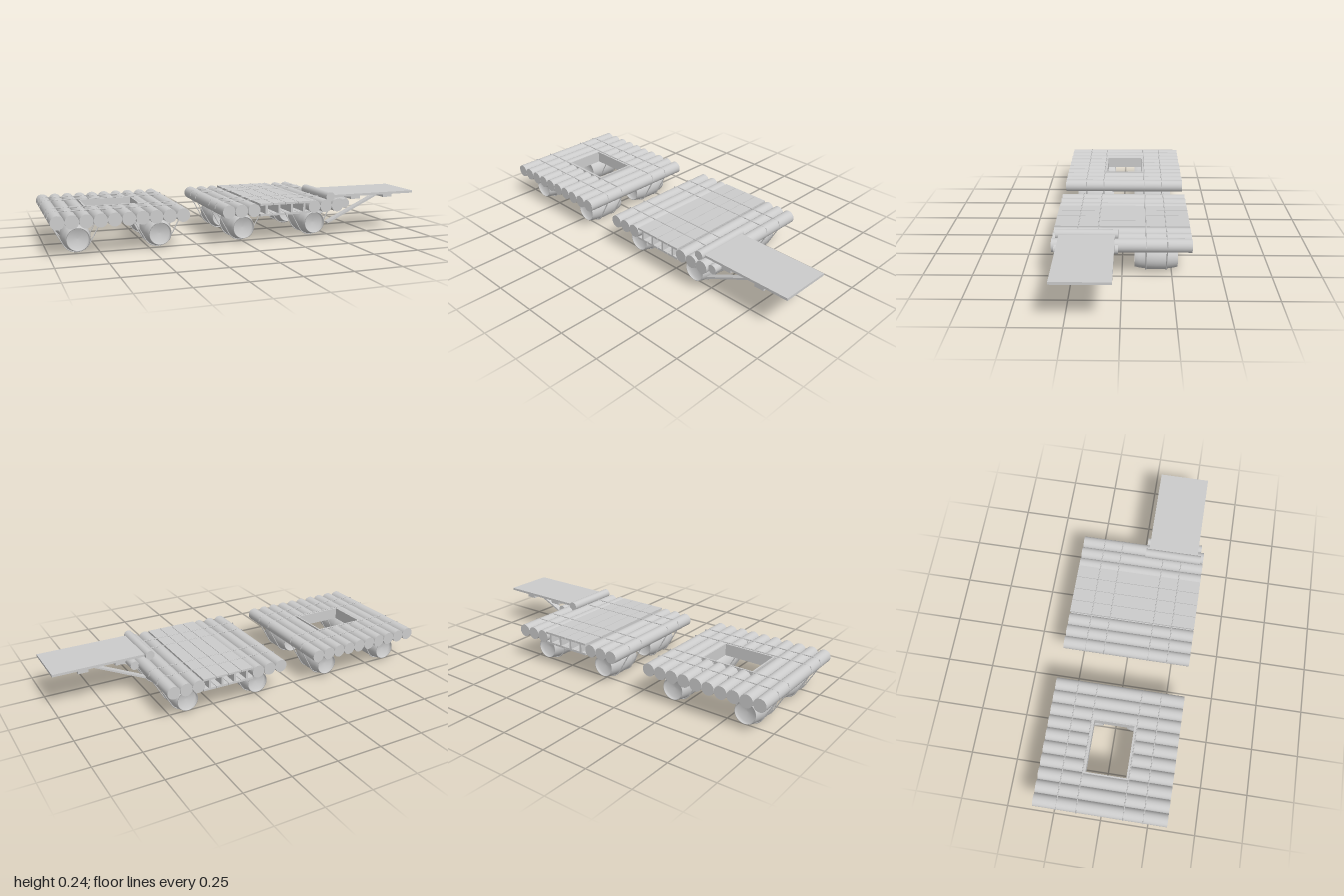
import * as THREE from 'three';

const mat = new THREE.MeshStandardMaterial({ color: 0xcccccc });
const LOG_R = 0.0343, DECK_Y = 0.178, HALF = 0.345;
const BARREL_Y = 0.078, ROPE_Z = [-0.223, -0.12, 0.12, 0.223];

function add(parent, name, geometry, x, y, z) {
  const mesh = new THREE.Mesh(geometry, mat);
  mesh.name = name;
  mesh.position.set(x, y, z);
  parent.add(mesh);
  return mesh;
}

const box = (parent, name, w, h, d, x, y, z) =>
  add(parent, name, new THREE.BoxGeometry(w, h, d), x, y, z);

// Round timber lying along z
function log(parent, name, r, x, y, z0, z1) {
  const geo = new THREE.CylinderGeometry(r, r, z1 - z0, 24).rotateX(Math.PI / 2);
  return add(parent, name, geo, x, y, (z0 + z1) / 2);
}

// Barrel with bulging staves and recessed lids
const barrelGeo = new THREE.LatheGeometry([
  [0, -0.085], [0.052, -0.088], [0.055, -0.108], [0.058, -0.108],
  [0.064, -0.085], [0.068, -0.055], [0.071, -0.047], [0.072, 0],
  [0.071, 0.047], [0.068, 0.055], [0.064, 0.085], [0.058, 0.108],
  [0.055, 0.108], [0.052, 0.088], [0, 0.085],
].map(([r, y]) => new THREE.Vector2(r, y)), 32).rotateX(Math.PI / 2);

// Rope through points in the xy plane
function rope(parent, name, pts, z) {
  const path = new THREE.CurvePath();
  const v = pts.map(([x, y]) => new THREE.Vector3(x, y, 0));
  for (let i = 1; i < v.length; i++) path.add(new THREE.LineCurve3(v[i - 1], v[i]));
  add(parent, name, new THREE.TubeGeometry(path, 64, 0.0028, 6), 0, 0, z);
}

// Sling that hangs a barrel below the deck
function slingPoints(cx) {
  const pts = [[cx - 0.128, 0.209], [cx - 0.137, 0.185], [cx - 0.132, 0.165]];
  for (let a = 210; a <= 330; a += 10) {
    const t = THREE.MathUtils.degToRad(a);
    pts.push([cx + 0.073 * Math.cos(t), BARREL_Y + 0.073 * Math.sin(t)]);
  }
  pts.push([cx + 0.132, 0.165], [cx + 0.137, 0.185], [cx + 0.128, 0.209]);
  return pts;
}

// Barrels and ropes shared by both rafts; cx is the raft centre
function floats(raft, cx) {
  for (const bx of [cx - 0.205, cx + 0.205]) {
    for (const s of [-1, 1]) add(raft, 'barrel', barrelGeo, bx, BARREL_Y, s * 0.172);
    for (const z of ROPE_Z) rope(raft, 'barrelSling', slingPoints(bx), z);
  }
  for (const z of ROPE_Z) {
    const w = 0.343;
    rope(raft, 'deckRope', [
      [cx - w - 0.002, 0.178], [cx - w + 0.01, 0.203], [cx - w + 0.034, 0.212],
      [cx + w - 0.034, 0.212], [cx + w - 0.01, 0.203], [cx + w + 0.002, 0.178]], z);
  }
}

const logX = (cx, i) => cx + (i - 4.5) * 2 * LOG_R;

// Raft with a framed well in the middle
function wellRaft(cx) {
  const raft = new THREE.Group();
  raft.name = 'wellRaft';
  for (let i = 0; i < 10; i++) {
    const x = logX(cx, i);
    if (i >= 3 && i <= 6) {
      log(raft, 'shortDeckLog', LOG_R, x, DECK_Y, -HALF, -0.115);
      log(raft, 'shortDeckLog', LOG_R, x, DECK_Y, 0.115, HALF);
    } else log(raft, 'deckLog', LOG_R, x, DECK_Y, -HALF, HALF);
  }
  for (const s of [-1, 1]) {
    box(raft, 'wellFrameEnd', 0.29, 0.064, 0.012, cx, DECK_Y, s * 0.112);
    box(raft, 'wellFrameSide', 0.008, 0.064, 0.23, cx + s * 0.141, DECK_Y, 0);
  }
  floats(raft, cx);
  return raft;
}

// I-shaped beam along z
function beam(parent, x) {
  const w = 0.0345, h = 0.033, f = 0.022, t = 0.006;
  const shape = new THREE.Shape([
    [-w, -h], [w, -h], [w, -f], [t, -f], [t, f], [w, f],
    [w, h], [-w, h], [-w, f], [-t, f], [-t, -f], [-w, -f],
  ].map(([a, b]) => new THREE.Vector2(a, b)));
  const geo = new THREE.ExtrudeGeometry(shape, { depth: 2 * HALF, bevelEnabled: false });
  add(parent, 'deckBeam', geo, x, DECK_Y, -HALF);
}

// Raft with four beams between the logs
function beamRaft(cx) {
  const raft = new THREE.Group();
  raft.name = 'beamRaft';
  for (let i = 0; i < 10; i++) {
    if (i < 3 || i > 6) log(raft, 'deckLog', LOG_R, logX(cx, i), DECK_Y, -HALF, HALF);
  }
  for (let i = 0; i < 4; i++) beam(raft, cx + 0.004 + (i - 1.5) * 0.0715);
  floats(raft, cx);
  return raft;
}

// Boarding ramp with rests, cleats and braces
function boardingRamp() {
  const ramp = new THREE.Group();
  ramp.name = 'boardingRamp';
  const z = 0.172;
  log(ramp, 'rampStopLog', 0.025, 0.479, 0.222, 0.018, 0.328);
  log(ramp, 'rampRestLog', 0.024, 0.567, 0.183, 0.018, 0.328);
  box(ramp, 'rampBoard', 0.5, 0.013, 0.276, 0.75, 0.2215, z);
  for (const x of [0.64, 0.84]) box(ramp, 'rampCleat', 0.055, 0.015, 0.276, x, 0.2075, z);
  const [x0, y0, x1, y1] = [0.49, 0.071, 0.79, 0.211];
  for (const bz of [0.086, 0.26]) {
    const brace = box(ramp, 'rampBrace', Math.hypot(x1 - x0, y1 - y0), 0.01, 0.034,
      (x0 + x1) / 2, (y0 + y1) / 2, bz);
    brace.rotation.z = Math.atan2(y1 - y0, x1 - x0);
  }
  return ramp;
}

export function createModel() {
  const model = new THREE.Group();
  model.name = 'barrelRafts';
  model.add(wellRaft(-0.655), beamRaft(0.204), boardingRamp());
  return model;
}
